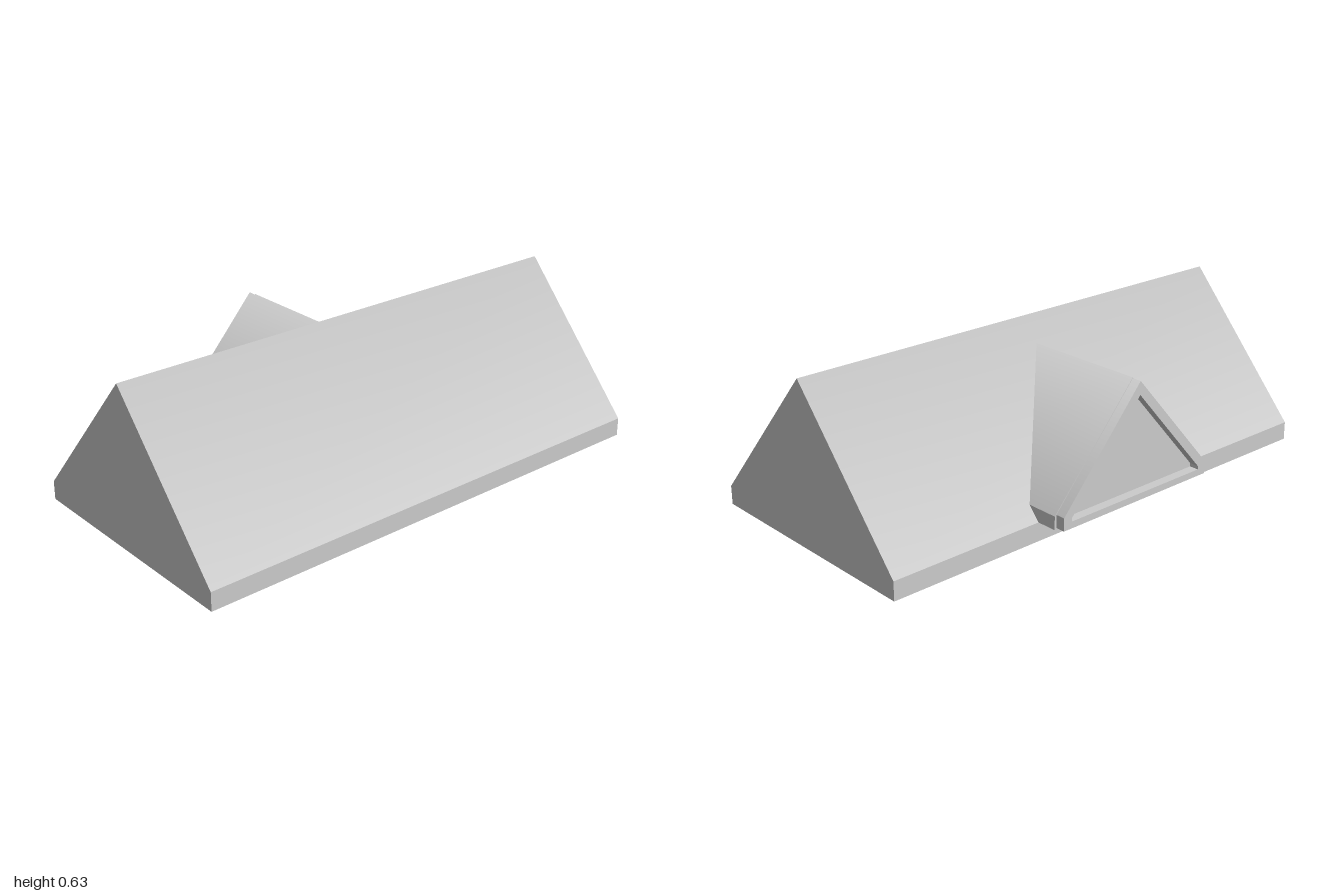
import * as THREE from 'three';

const material = new THREE.MeshStandardMaterial({ color: 0xcccccc });

// Gable outline: flat base, short upright eaves, two slopes to a ridge
const gable = (half, base, eave, ridge) => [
  [-half, base], [half, base], [half, eave], [0, ridge], [-half, eave],
].map(([x, y]) => new THREE.Vector2(x, y));

// Extrude a gable along +z; normals are rounded over the ridge only
function gablePrism(name, outline, depth, hole) {
  const shape = new THREE.Shape(outline);
  if (hole) shape.holes.push(new THREE.Path(hole));
  const geo = new THREE.ExtrudeGeometry(shape, { depth, bevelEnabled: false });
  const pos = geo.attributes.position;
  const nor = geo.attributes.normal;
  const ridge = outline[3].y;
  for (let i = 0; i < pos.count; i++) {
    if (Math.abs(pos.getY(i) - ridge) < 1e-4 && Math.abs(nor.getZ(i)) < 0.5) nor.setXYZ(i, 0, 1, 0);
  }
  const mesh = new THREE.Mesh(geo, material);
  mesh.name = name;
  return mesh;
}

export function createModel() {
  const model = new THREE.Group();
  model.name = 'gableRoofWithDormer';

  // Main roof, ridge running along z
  const roof = gablePrism('mainRoof', gable(0.493, 0, 0.073, 0.63), 2);
  roof.position.set(0.06, 0, -1);
  model.add(roof);

  // Dormer on the right slope, ridge running along x
  const dormer = new THREE.Group();
  dormer.name = 'dormer';
  const body = gablePrism('dormerRoof', gable(0.37, 0.073, 0.125, 0.541), 0.655);
  body.position.z = -0.515;
  dormer.add(body);

  // Open window frame in front of the dormer face
  const frame = gablePrism('windowFrame', gable(0.362, 0.079, 0.129, 0.538), 0.038,
    gable(0.325, 0.105, 0.118, 0.486).reverse());
  frame.position.z = -0.553;
  dormer.add(frame);

  dormer.rotation.y = Math.PI / 2;
  model.add(dormer);
  return model;
}
